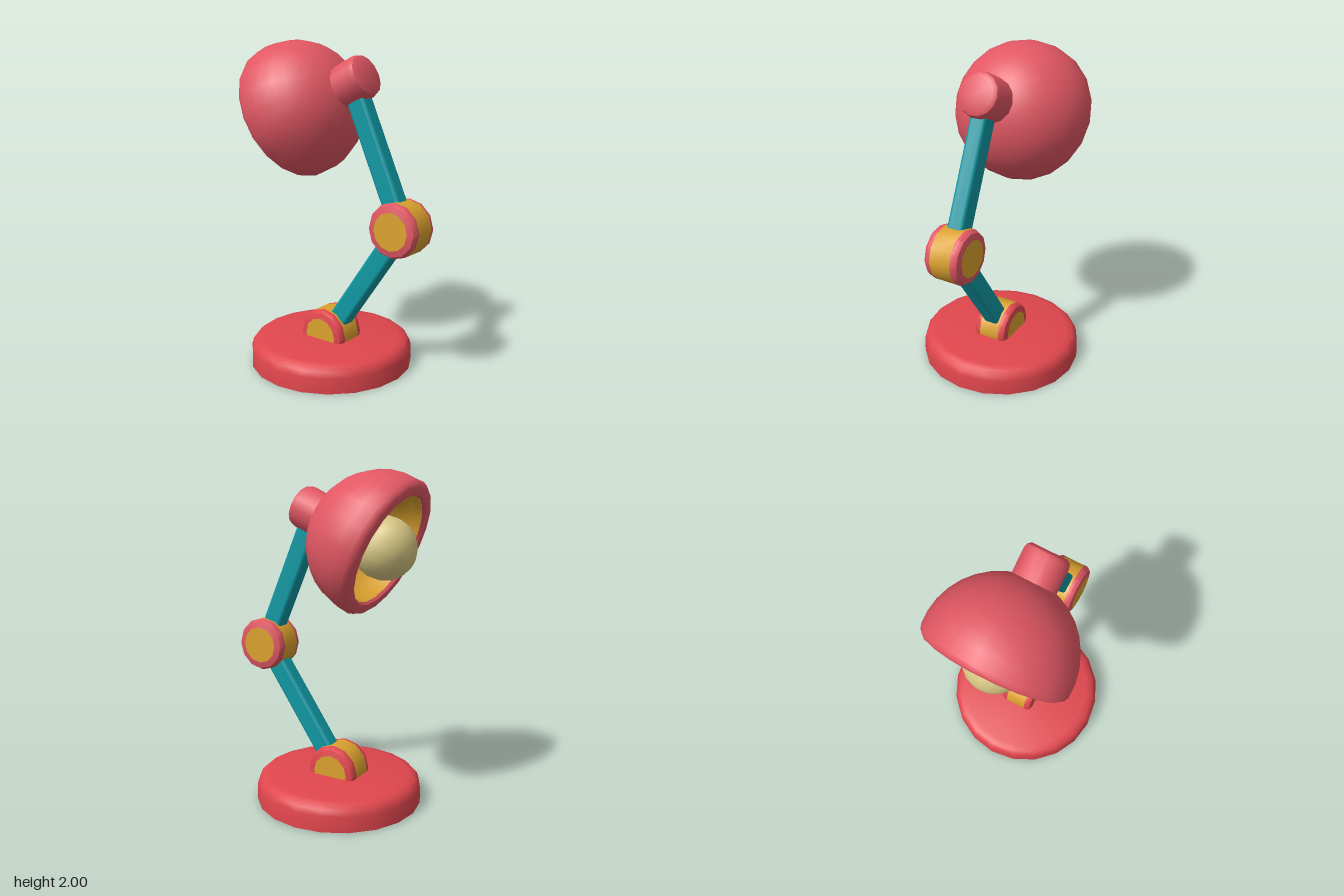
import * as THREE from 'three';
import { toCreasedNormals } from 'three/addons/utils/BufferGeometryUtils.js';
import { RoundedBoxGeometry } from 'three/addons/geometries/RoundedBoxGeometry.js';

const material = (name, color) => {
  const m = new THREE.MeshStandardMaterial({ color });
  m.name = name;
  return m;
};

export function createModel() {
  const red = material('base red', 0xe0464d);
  const pink = material('shade pink', 0xe15763);
  const gold = material('gold', 0xdca22f);
  const teal = material('arm teal', 0x0f98a2);
  const cream = material('bulb cream', 0xd8c884);
  const model = new THREE.Group();
  model.name = 'deskLamp';

  const add = (parent, name, geometry, mat) => {
    const mesh = new THREE.Mesh(geometry, mat);
    mesh.name = name;
    parent.add(mesh);
    return mesh;
  };
  const lathe = (points, sides, crease = 0.7) => toCreasedNormals(
    new THREE.LatheGeometry(points.map(([r, y]) => new THREE.Vector2(r, y)), sides), crease);
  // Points along a circular arc, angles measured from the equator
  const arc = (radius, from, to, steps) => Array.from({ length: steps + 1 }, (_, i) => {
    const a = from + (to - from) * i / steps;
    return [Math.max(0, radius * Math.cos(a)), radius * Math.sin(a)];
  });

  // Round base with a softened top edge
  add(model, 'base', lathe(
    [[0, 0], [0.508, 0], [0.508, 0.095], [0.498, 0.13], [0.475, 0.153], [0.435, 0.163], [0, 0.163]], 20), red)
    .position.x = -0.085;

  // Hinges: gold middle band and end caps, coloured bevelled rims
  const addJoint = (name, x, y, r, rimColor) => {
    const joint = new THREE.Group();
    joint.name = name;
    joint.position.set(x, y, 0);
    joint.rotation.x = Math.PI / 2;
    model.add(joint);
    const cap = r * 0.69;
    add(joint, 'middleBand', lathe([[r, -0.067], [r, 0.067]], 12), gold);
    for (const side of [-1, 1]) {
      const half = new THREE.Group();
      half.rotation.x = side < 0 ? Math.PI : 0;
      joint.add(half);
      add(half, 'rim', lathe([[r, 0.067], [r, 0.085], [r * 0.92, 0.106], [cap, 0.115]], 12), rimColor);
      add(half, 'endCap', lathe([[cap, 0.115], [0, 0.115]], 12), gold);
    }
  };
  addJoint('baseJoint', -0.085, 0.185, 0.162, red);
  addJoint('elbowJoint', 0.425, 0.932, 0.163, pink);

  // Rounded bar arms between the joints
  const addArm = (name, x0, y0, x1, y1) => {
    const length = Math.hypot(x1 - x0, y1 - y0);
    const arm = add(model, name, new RoundedBoxGeometry(0.125, length, 0.104, 2, 0.022), teal);
    arm.position.set((x0 + x1) / 2, (y0 + y1) / 2, 0);
    arm.rotation.z = -Math.atan2(x1 - x0, y1 - y0);
  };
  addArm('lowerArm', -0.075, 0.19, 0.435, 0.93);
  addArm('upperArm', 0.44, 0.93, 0.09, 1.73);

  // Head, built along +y and tilted as one
  const head = new THREE.Group();
  head.name = 'head';
  head.position.set(-0.35, 1.572, 0);
  head.rotation.z = -Math.PI / 2 + 0.43;
  model.add(head);
  const R = 0.424;
  add(head, 'shade', lathe(
    [[0.335, -0.055], [0.345, -0.073], [0.395, -0.073], [0.411, -0.06], ...arc(R, -0.08, Math.PI / 2, 9)], 20), pink);
  add(head, 'shadeLining', lathe(arc(0.339, Math.PI / 2, -0.163, 8), 20), gold);
  add(head, 'bulb', new THREE.SphereGeometry(0.185, 14, 10), cream).position.y = -0.03;
  add(head, 'bulbSocket', new THREE.CylinderGeometry(0.08, 0.08, 0.22, 12), gold).position.y = 0.24;

  // Knob at the back of the shade
  add(head, 'shadeKnob', lathe(
    [[0, 0.3], [0.13, 0.3], [0.13, 0.545], [0.122, 0.57], [0.1, 0.583], [0, 0.583]], 14), pink)
    .position.x = 0.018;

  return model;
}
